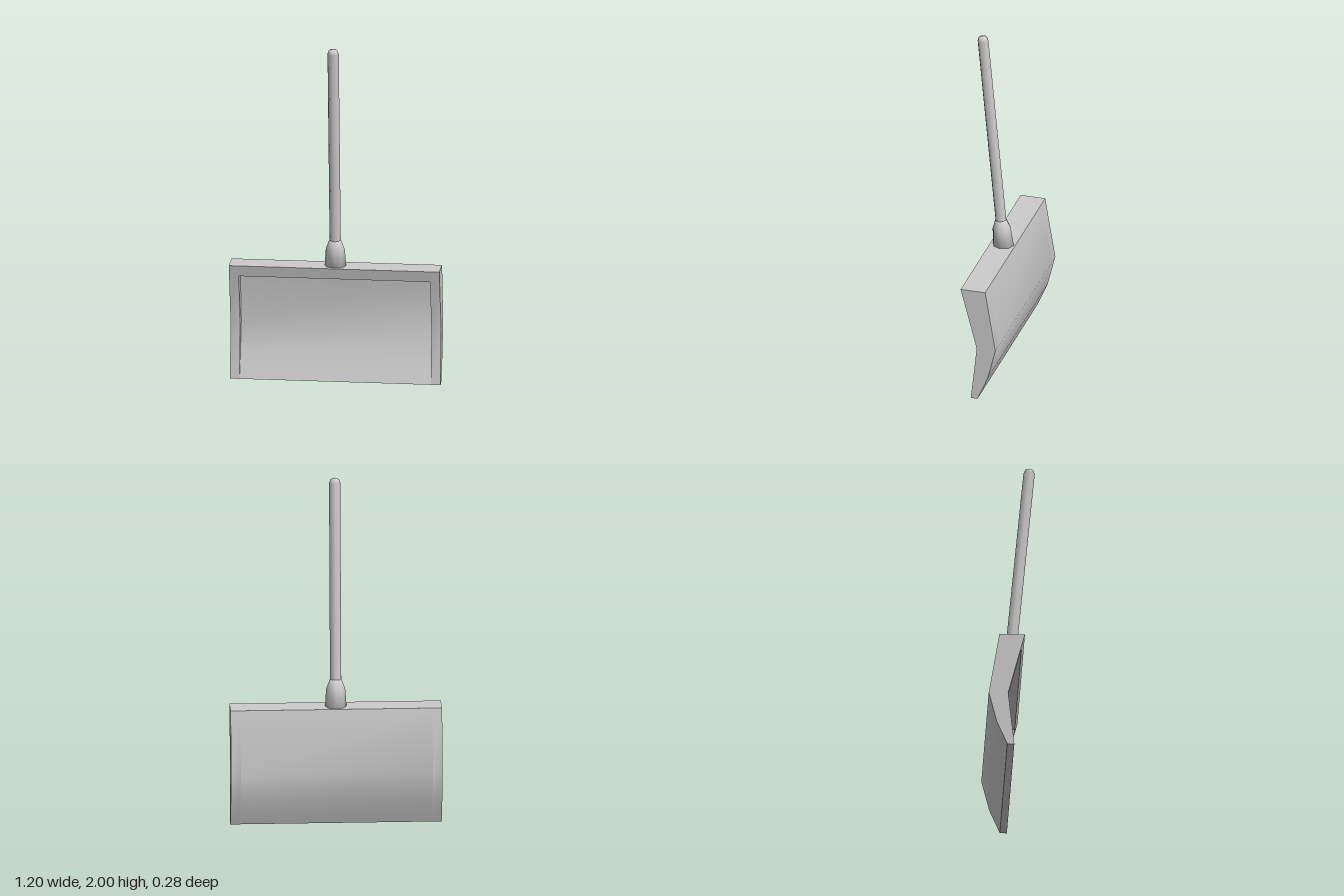
import * as THREE from 'three';
import { toCreasedNormals } from 'three/addons/utils/BufferGeometryUtils.js';

const WIDTH = 1.2, RIM = 0.055;

// profile points are [z, y]
const BACK = [[-0.035, 0], [-0.095, 0.14], [-0.14, 0.32], [-0.08, 0.685], [0.065, 0.685]];
const CHEEK_FRONT = [[-0.03, 0.32], [0.005, 0]];
const SCOOP_FRONT = [[0.048, 0.62], [-0.035, 0.62], [-0.085, 0.32], [-0.042, 0.14], [0.005, 0]];

export function createModel() {
  const model = new THREE.Group();
  model.name = 'snowShovel';
  const material = new THREE.MeshStandardMaterial({ color: 0xcccccc });

  const add = (name, geometry, parent = model) => {
    const mesh = new THREE.Mesh(geometry, material);
    mesh.name = name;
    parent.add(mesh);
    return mesh;
  };

  // side profile swept along x, centred on x = 0
  const sweep = (points, width) => {
    const shape = new THREE.Shape(points.map(([z, y]) => new THREE.Vector2(z, y)));
    const geometry = new THREE.ExtrudeGeometry(shape, { depth: width, bevelEnabled: false });
    geometry.translate(0, 0, -width / 2).rotateY(-Math.PI / 2);
    return toCreasedNormals(geometry, 0.55);
  };

  // blade: hollowed scoop with a top rim, closed by a raised cheek at each end
  const blade = new THREE.Group();
  blade.name = 'blade';
  model.add(blade);
  add('scoop', sweep([...BACK, ...SCOOP_FRONT], WIDTH - 2 * RIM), blade);
  for (const [name, side] of [['leftCheek', 1], ['rightCheek', -1]]) {
    add(name, sweep([...BACK, ...CHEEK_FRONT], RIM), blade).position.x = side * (WIDTH - RIM) / 2;
  }

  // leaning handle with socket, both eight-sided
  const handle = new THREE.Group();
  handle.name = 'handle';
  handle.position.set(0, 0.685, -0.01);
  handle.rotation.x = 0.093;
  model.add(handle);
  const turn = (points) =>
    new THREE.LatheGeometry(points.map(([r, y]) => new THREE.Vector2(r, y)), 8);
  add('socket', turn([[0, -0.01], [0.062, -0.01], [0.054, 0.1], [0.033, 0.155], [0, 0.155]]), handle);
  add('shaft', turn([[0.032, 0.13], [0.032, 1.29], [0.024, 1.311], [0, 1.32]]), handle);
  return model;
}
